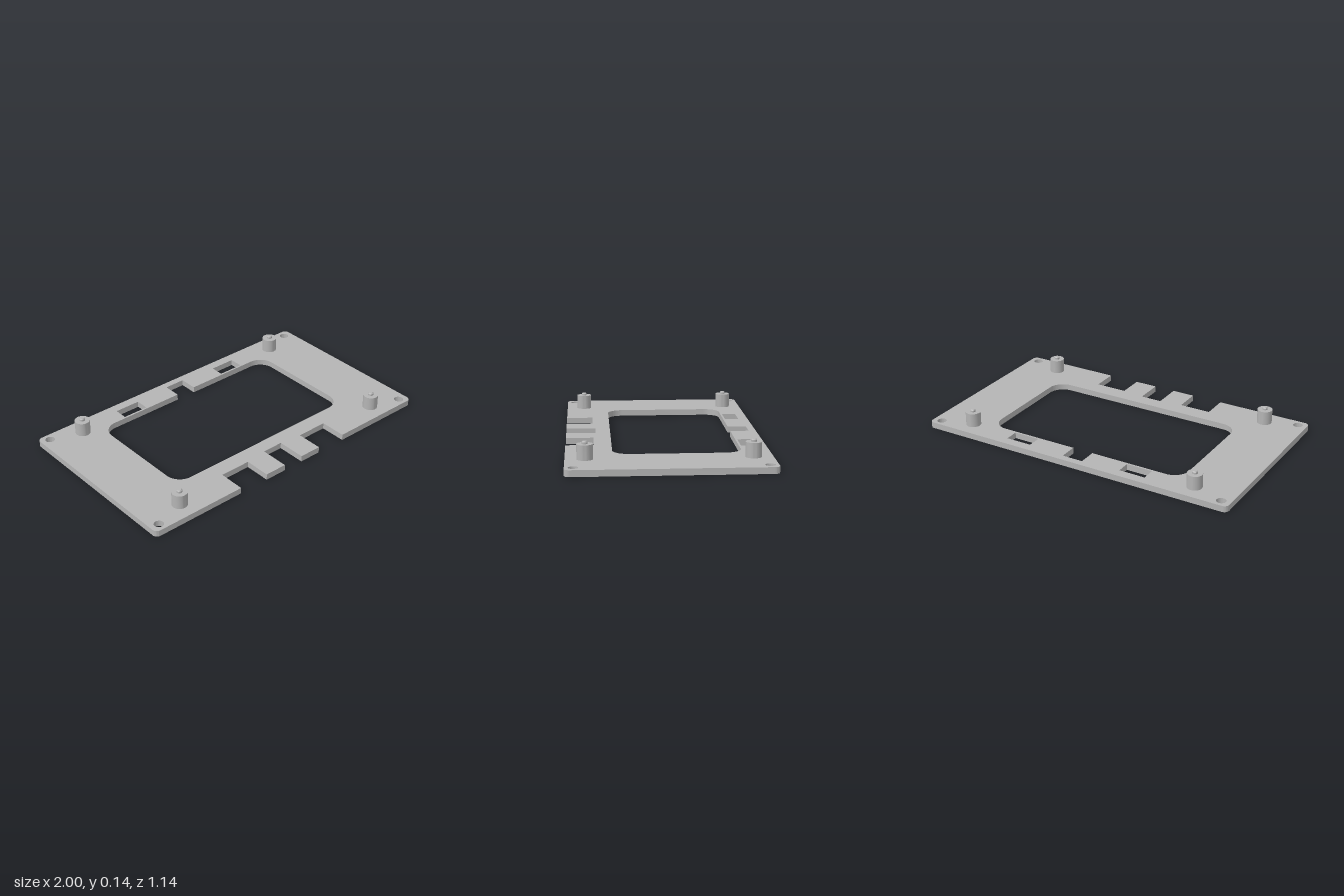
import * as THREE from 'three';
import { toCreasedNormals } from 'three/addons/utils/BufferGeometryUtils.js';

const THICK = 0.037;

// Outlines are drawn in (x, -z) and laid flat after extrusion.
// Each corner is [x, z, radius]; rounded corners use a circular arc.
function outline(corners, target) {
  const n = corners.length;
  const pts = corners.map(([x, z]) => new THREE.Vector2(x, -z));
  corners.forEach(([, , r = 0], i) => {
    const p = pts[i];
    const line = (q) => (i === 0 ? target.moveTo(q.x, q.y) : target.lineTo(q.x, q.y));
    if (!r) return line(p);
    const a = pts[(i + n - 1) % n].clone().sub(p).normalize();
    const b = pts[(i + 1) % n].clone().sub(p).normalize();
    const start = p.clone().addScaledVector(a, r);
    const centre = start.clone().addScaledVector(b, r);
    line(start);
    const from = Math.atan2(-b.y, -b.x);
    const to = Math.atan2(-a.y, -a.x);
    target.absarc(centre.x, centre.y, r, from, to, a.cross(b) > 0);
  });
  target.closePath();
  return target;
}

function framePlate() {
  const W = 1, D = 0.57, R = 0.03;
  // Outer edge with three notches along the front
  const shape = outline([
    [-W, D, R],
    [-0.4, D], [-0.4, 0.409], [-0.207, 0.409], [-0.207, D],
    [-0.067, D], [-0.067, 0.393], [0.065, 0.393], [0.065, D],
    [0.205, D], [0.205, 0.409], [0.4, 0.409], [0.4, D],
    [W, D, R], [W, -D, R], [-W, -D, R],
  ], new THREE.Shape());

  // Central window with a notch in its back edge
  const r = 0.095;
  shape.holes.push(outline([
    [-0.643, 0.307, r], [0.643, 0.307, r], [0.643, -0.415, r],
    [0.065, -0.415], [0.065, -0.527], [-0.065, -0.527], [-0.065, -0.415],
    [-0.643, -0.415, r],
  ], new THREE.Path()));

  for (const s of [-1, 1]) {
    // Rectangular slots behind the window
    shape.holes.push(outline([
      [s * 0.465, -0.511], [s * 0.303, -0.511], [s * 0.303, -0.427], [s * 0.465, -0.427],
    ], new THREE.Path()));
    // Corner screw holes
    for (const z of [-0.522, 0.522]) {
      shape.holes.push(new THREE.Path().absarc(s * 0.943, z, 0.028, 0, Math.PI * 2));
    }
  }
  const geo = new THREE.ExtrudeGeometry(shape, { depth: THICK, bevelEnabled: false, curveSegments: 16 });
  geo.rotateX(-Math.PI / 2);
  return toCreasedNormals(geo, 0.6);
}

export function createModel() {
  const grey = new THREE.MeshStandardMaterial({ color: 0xb4b4b4 });
  grey.name = 'light grey';
  const model = new THREE.Group();
  model.name = 'mountingFrame';

  const plate = new THREE.Mesh(framePlate(), grey);
  plate.name = 'framePlate';
  model.add(plate);

  // Standoff posts with a small chamfered locating pin
  const profile = [
    [0.045, THICK], [0.045, 0.122], [0.016, 0.122], [0.016, 0.132], [0.011, 0.138], [0, 0.138],
  ].map(([x, y]) => new THREE.Vector2(x, y));
  const postGeo = toCreasedNormals(new THREE.LatheGeometry(profile, 40), 0.5);
  for (const x of [-0.75, 0.75]) {
    for (const z of [-0.46, 0.46]) {
      const post = new THREE.Mesh(postGeo, grey);
      post.name = `${z > 0 ? 'front' : 'back'}${x > 0 ? 'Left' : 'Right'}Post`;
      post.position.set(x, 0, z);
      model.add(post);
    }
  }
  return model;
}
